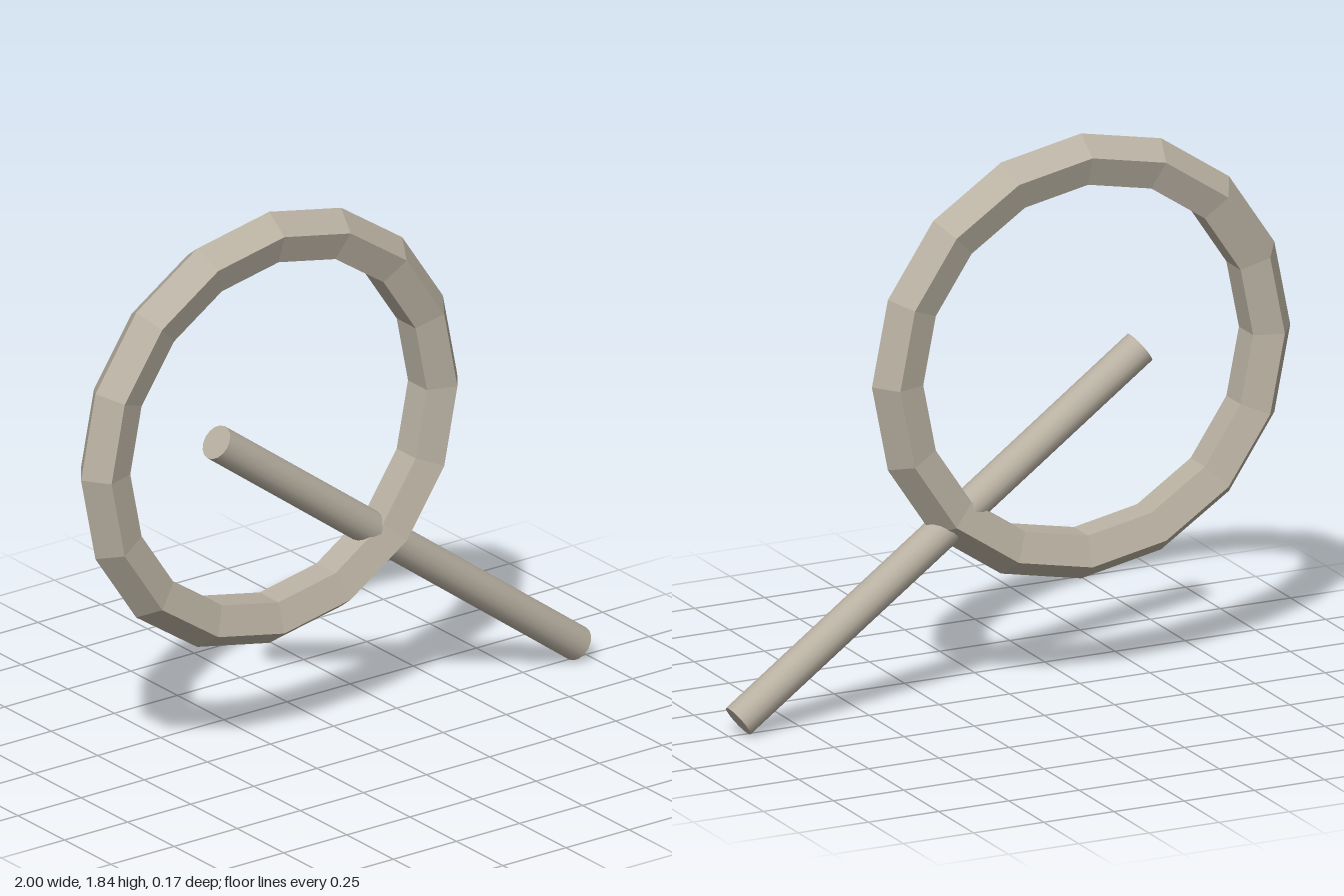
import * as THREE from 'three';

export function createModel() {
  const group = new THREE.Group();
  const stone = new THREE.MeshStandardMaterial({ color: 0xb9b1a2 });

  // Faceted ring with a five-sided section, ridge pointing outward
  const ringGeometry = new THREE.TorusGeometry(0.658, 0.087, 5, 16).toNonIndexed();
  ringGeometry.computeVertexNormals();
  const ring = new THREE.Mesh(ringGeometry, stone);
  ring.name = 'ring';
  ring.position.set(-0.255, 1.096, 0);
  group.add(ring);

  // Round rod slanting down through the ring
  const top = new THREE.Vector3(-0.464, 1.096, 0);
  const bottom = new THREE.Vector3(0.966, 0.047, 0);
  const axis = top.clone().sub(bottom);
  const rod = new THREE.Mesh(new THREE.CylinderGeometry(0.058, 0.058, axis.length(), 16), stone);
  rod.name = 'rod';
  rod.position.copy(top).add(bottom).multiplyScalar(0.5);
  rod.quaternion.setFromUnitVectors(new THREE.Vector3(0, 1, 0), axis.normalize());
  group.add(rod);

  return group;
}
